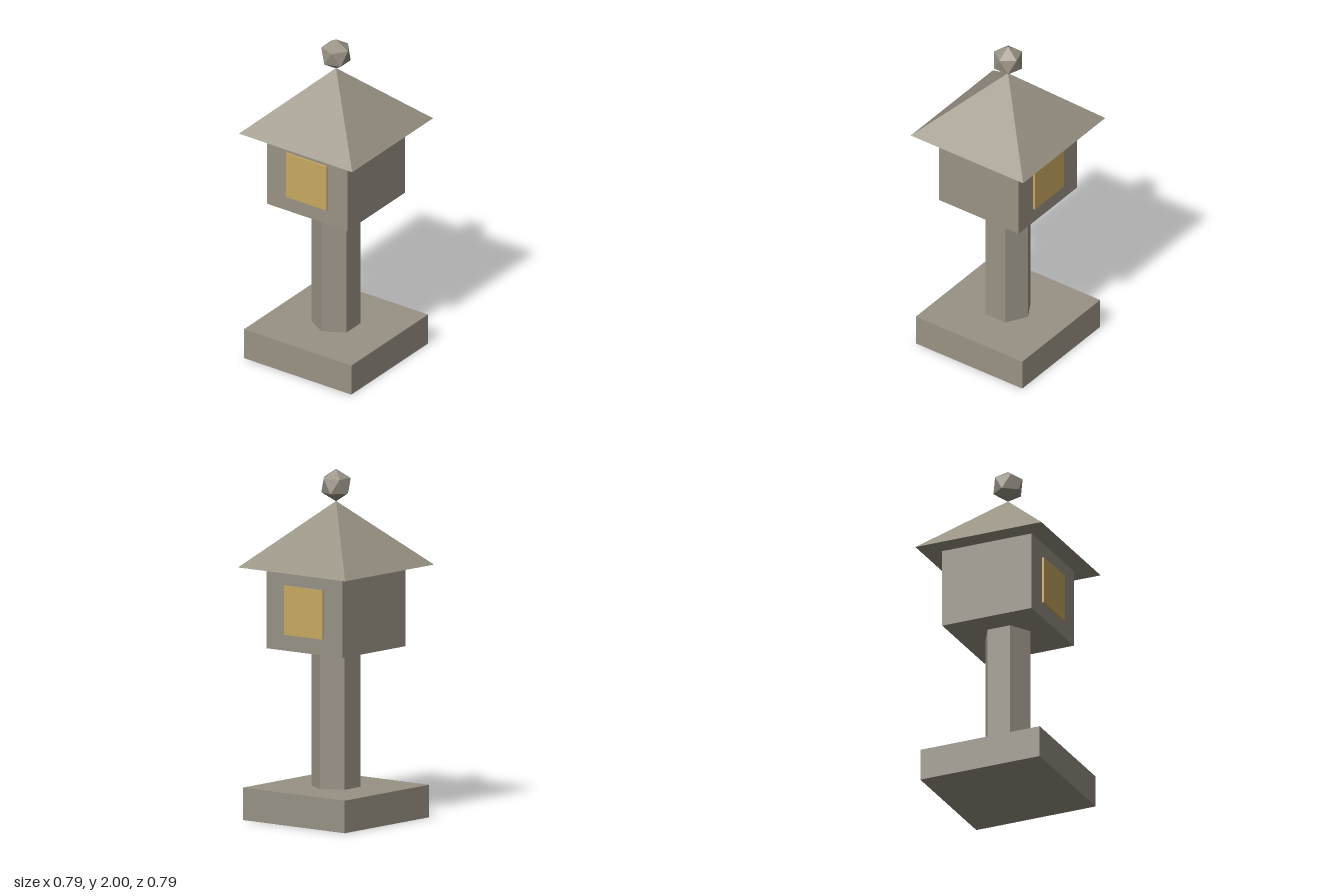
import * as THREE from 'three';

export function createModel() {
  const model = new THREE.Group();
  model.name = 'stoneLantern';

  const stone = new THREE.MeshStandardMaterial({ color: 0x999285 });
  stone.name = 'stone';
  stone.flatShading = true;
  const glow = new THREE.MeshStandardMaterial({ color: 0xc9a961 });
  glow.name = 'warmWindow';

  const add = (name, geometry, material, y, z = 0) => {
    const mesh = new THREE.Mesh(geometry, material);
    mesh.name = name;
    mesh.position.set(0, y, z);
    model.add(mesh);
    return mesh;
  };

  // Square plinth and hexagonal post
  add('base', new THREE.BoxGeometry(0.744, 0.186, 0.744), stone, 0.093);
  add('post', new THREE.CylinderGeometry(0.14, 0.14, 0.794, 6), stone, 0.583);

  // Light chamber with a window plate front and back
  add('lightChamber', new THREE.BoxGeometry(0.558, 0.465, 0.558), stone, 1.2125);
  for (const side of [1, -1]) {
    add(side > 0 ? 'frontWindow' : 'backWindow',
      new THREE.BoxGeometry(0.28, 0.28, 0.018), glow, 1.2125, side * 0.281);
  }

  // Pyramid roof with overhanging eaves
  const roof = new THREE.ConeGeometry(0.393 * Math.SQRT2, 0.372, 4);
  roof.rotateY(Math.PI / 4);
  add('roof', roof, stone, 1.63);

  // Faceted finial, turned so that it balances on one corner
  const finial = new THREE.IcosahedronGeometry(0.093, 0);
  finial.rotateZ(-Math.atan(2 / (1 + Math.sqrt(5))));
  add('finial', finial, stone, 1.907);

  return model;
}
